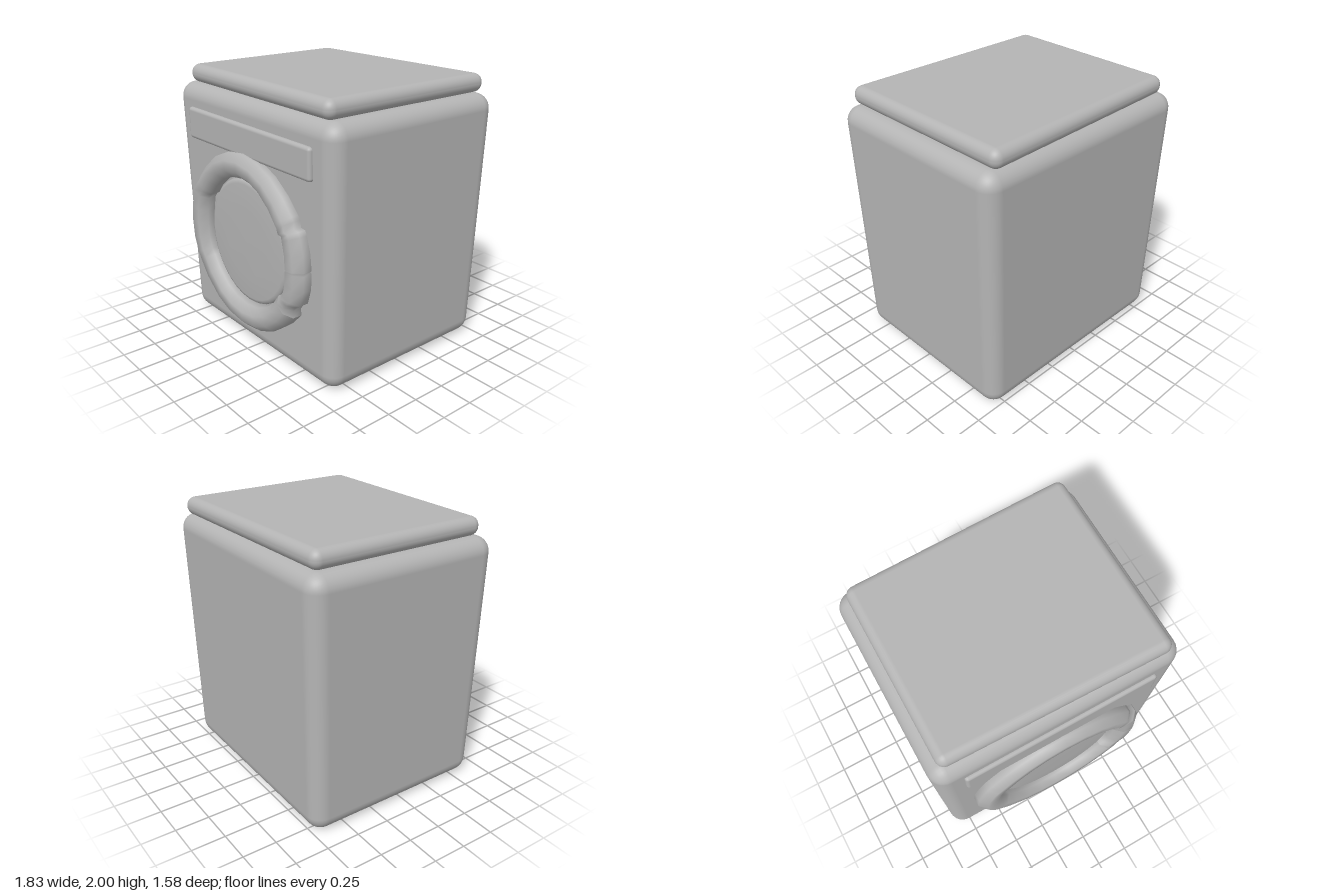
import * as THREE from 'three';
import { RoundedBoxGeometry } from 'three/addons/geometries/RoundedBoxGeometry.js';

const enamel = new THREE.MeshStandardMaterial({ color: 0xb4b4b4 });
enamel.name = 'grey enamel';

// Moves every vertex by a rule that edits the point in place.
function warp(geometry, rule) {
  const pos = geometry.attributes.position;
  const p = new THREE.Vector3();
  for (let i = 0; i < pos.count; i++) {
    rule(p.fromBufferAttribute(pos, i), i);
    pos.setXYZ(i, p.x, p.y, p.z);
  }
  return geometry;
}

// Door ring stations: angle in degrees, centre radius, radial half-thickness.
const stations = [
  [-33, 0.57, 0.098], [-29, 0.565, 0.075], [-25, 0.572, 0.075], [-21, 0.588, 0.092],
  [-11, 0.588, 0.098], [-1, 0.586, 0.098], [0, 0.584, 0.088], [1, 0.586, 0.098],
  [11, 0.59, 0.098], [21, 0.594, 0.096], [24, 0.598, 0.09], [26, 0.565, 0.085],
  [30, 0.575, 0.095], [33, 0.57, 0.096], [45, 0.567, 0.09], [60, 0.567, 0.088],
  [75, 0.567, 0.088], [90, 0.567, 0.088], [105, 0.567, 0.088], [120, 0.567, 0.088],
  [135, 0.567, 0.09], [146, 0.572, 0.096], [150, 0.586, 0.09], [156, 0.594, 0.086],
  [168, 0.588, 0.096], [180, 0.584, 0.098], [192, 0.584, 0.096], [203, 0.58, 0.092],
  [209, 0.57, 0.094], [222, 0.567, 0.09], [240, 0.567, 0.088], [255, 0.567, 0.088],
  [270, 0.567, 0.088], [285, 0.567, 0.088], [300, 0.567, 0.088], [315, 0.567, 0.09],
  [327, 0.57, 0.098],
];

function doorRing() {
  // Eight-sided section, open only at the back where it sinks into the body.
  const section = [];
  for (let k = 0; k < 8; k++) {
    const a = THREE.MathUtils.degToRad(-67.5 + 45 * k);
    section.push(new THREE.Vector2(Math.cos(a) / 0.924, Math.sin(a) / 0.924));
  }
  const n = stations.length;
  const geometry = new THREE.LatheGeometry(section.map((s) => new THREE.Vector2(s.x + 3, s.y)), n);
  geometry.rotateX(Math.PI / 2);
  warp(geometry, (p, i) => {
    const [deg, radius, half] = stations[Math.floor(i / 8) % n];
    const s = section[i % 8];
    const a = THREE.MathUtils.degToRad(deg);
    const r = radius + half * s.x;
    p.set(r * Math.cos(a), r * Math.sin(a), 0.09 * s.y);
  });
  geometry.computeVertexNormals();
  return geometry;
}

export function createModel() {
  const group = new THREE.Group();
  group.name = 'washingMachine';
  const add = (name, geometry, x, y, z) => {
    const mesh = new THREE.Mesh(geometry, enamel);
    mesh.name = name;
    mesh.position.set(x, y, z);
    group.add(mesh);
    return mesh;
  };

  // Cabinet, wider towards the top
  const cabinet = warp(new RoundedBoxGeometry(1.79, 1.87, 1.455, 4, 0.115), (p) => {
    const t = p.y / 1.87;
    p.x *= 1 + 0.055 * t;
    p.z *= 1 + 0.05 * t;
  });
  add('cabinet', cabinet, 0, 0.935, -0.05);

  // Lid, slightly deeper on one side
  const lid = warp(new RoundedBoxGeometry(1.67, 0.135, 1.39, 4, 0.064), (p) => {
    p.z *= 1 + 0.032 * p.x;
  });
  add('lid', lid, -0.002, 1.9325, -0.052);

  // Control panel, slightly taller on one side
  const panel = warp(new RoundedBoxGeometry(1.44, 0.23, 0.08, 2, 0.025), (p) => {
    p.y *= 1 - 0.03 * p.x;
  });
  add('controlPanel', panel, 0, 1.588, 0.68);

  // Round door with a softened rim
  const profile = [[0.465, -0.06], [0.465, 0.015], [0.455, 0.032], [0.43, 0.042], [0.25, 0.047], [0, 0.049]];
  const door = new THREE.LatheGeometry(profile.map(([x, y]) => new THREE.Vector2(x, y)), 32);
  door.rotateX(Math.PI / 2);
  add('door', door, 0, 0.85, 0.675);

  // Ring around the door, uneven at the hinge and latch
  add('doorRing', doorRing(), 0, 0.85, 0.7);

  return group;
}
